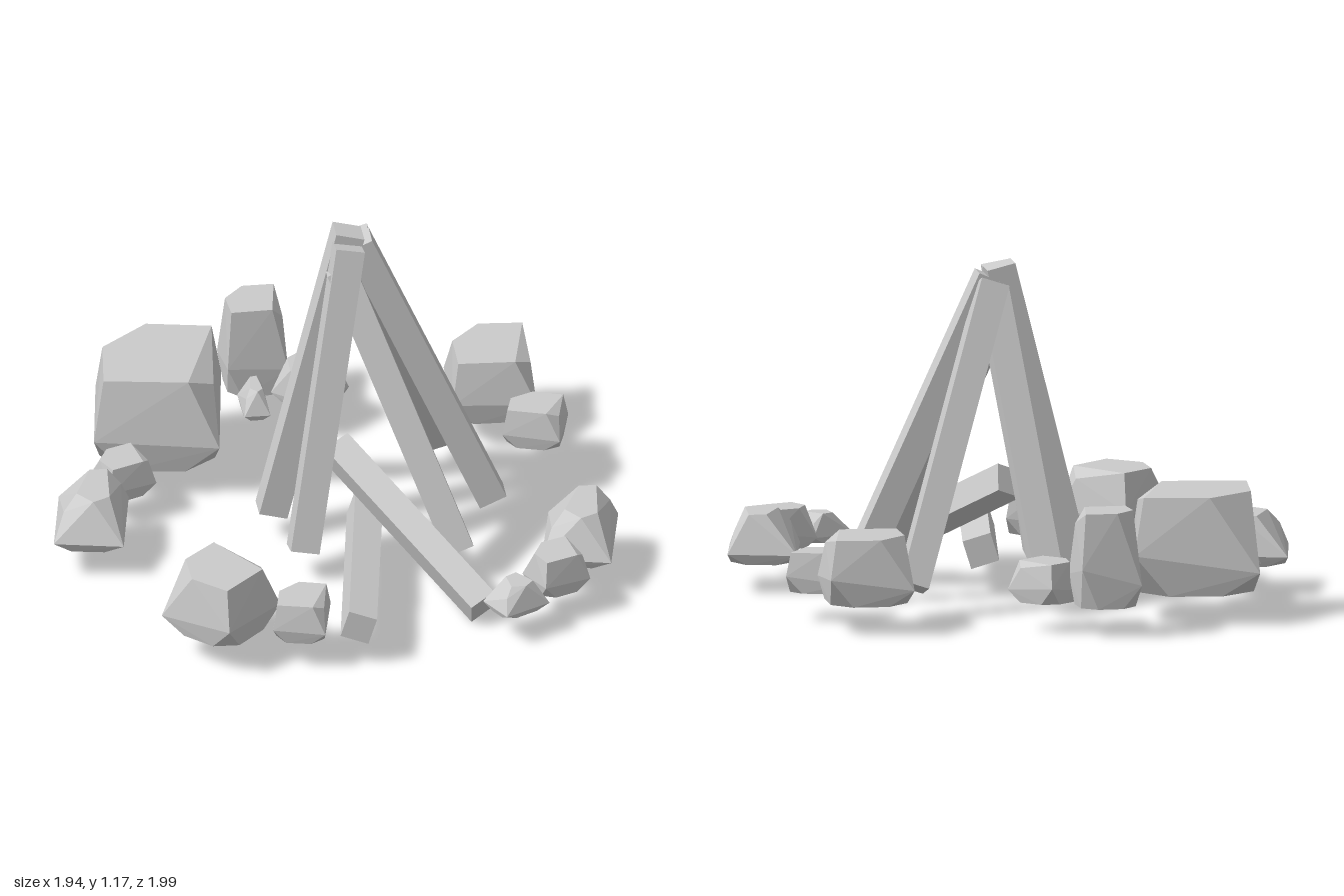
import * as THREE from 'three';
import { ConvexGeometry } from 'three/addons/geometries/ConvexGeometry.js';

const material = new THREE.MeshStandardMaterial({ color: 0xcccccc, flatShading: true });

// Square log from foot to tip; upright it lines up with the axes, then it is tilted and rolled
function makeLog(name, foot, tip, roll = 0) {
  const a = new THREE.Vector3(...foot);
  const b = new THREE.Vector3(...tip);
  const log = new THREE.Mesh(new THREE.BoxGeometry(0.1, a.distanceTo(b), 0.1), material);
  log.name = name;
  log.position.copy(a).add(b).multiplyScalar(0.5);
  log.quaternion.setFromUnitVectors(new THREE.Vector3(0, 1, 0), b.sub(a).normalize());
  log.rotateY(roll);
  return log;
}

// Unit stones: corner points [x, height, z], flat below and chipped at the corners
const base = [
  [-0.92, 0, -0.4], [-0.4, 0, -0.92], [0.45, 0, -0.92], [0.92, 0, -0.45],
  [0.92, 0, 0.5], [0.45, 0, 0.92], [-0.5, 0, 0.92], [-0.92, 0, 0.45],
];
const blockStone = [
  ...base,
  [-1, 0.24, -1], [1, 0.42, -1], [1, 0.3, 1], [-1, 0.36, 1],
  [-0.88, 1, -0.2], [-0.2, 1, -0.9], [0.85, 1, -0.85], [0.5, 1, 0.85], [-0.85, 1, 0.82],
  [0.9, 0.85, 0.5],
];
const ridgeStone = [
  ...base,
  [-1, 0.2, -1], [1, 0.22, -1], [1, 0.18, 1], [-1, 0.2, 1],
  [-0.1, 1, -0.7], [0.4, 1, -0.75], [0.55, 1, 0.4], [0.1, 1, 0.65], [-0.4, 1, 0.3],
  [-0.75, 0.7, 0.55], [0.8, 0.7, -0.7],
];

function makeStone(shape, x, z, halfWidth, halfDepth, top, yaw) {
  const points = shape.map(([px, py, pz]) =>
    new THREE.Vector3(px * halfWidth, py * (top - 0.1), pz * halfDepth));
  const stone = new THREE.Mesh(new ConvexGeometry(points), material);
  stone.name = 'stone';
  stone.position.set(x, 0.1, z);
  stone.rotation.y = yaw;
  return stone;
}

export function createModel() {
  const model = new THREE.Group();
  model.name = 'campfire';

  // Leaning logs meeting at the top
  const logs = new THREE.Group();
  logs.name = 'logs';
  const leaning = [
    [[-0.04, 0.11, -0.38], [0.1, 1.08, -0.07]],
    [[0.44, 0.11, -0.42], [0.1, 1.1, -0.08]],
    [[0.56, 0.1, 0], [0.1, 1.12, -0.03]],
    [[-0.2, 0.1, 0], [0.07, 1.16, -0.03]],
    [[-0.13, 0.11, 0.305], [0.06, 1.14, 0.05]],
    [[0.4, 0.11, 0.37], [0.03, 1.06, 0.05]],
  ];
  for (const [foot, tip] of leaning) logs.add(makeLog('leaningLog', foot, tip));

  // Loose logs: one slipped forward, one lying flat
  logs.add(makeLog('slippedLog', [0.44, 0.06, 0.695], [0.01, 0.39, 0.11], 0.25));
  logs.add(makeLog('lyingLog', [-0.02, 0.147, 0.94], [0.11, 0.15, 0.1], 0.15));
  model.add(logs);

  // Ring of stones: shape, x, z, half width, half depth, top, yaw
  const ring = new THREE.Group();
  ring.name = 'stoneRing';
  const stones = [
    [blockStone, -0.525, -0.53, 0.215, 0.235, 0.44, -0.14],
    [blockStone, -0.15, -0.89, 0.105, 0.105, 0.43, 0.05],
    [blockStone, 0.03, -0.75, 0.095, 0.095, 0.24, 0.75],
    [ridgeStone, -0.17, -0.7, 0.045, 0.08, 0.2, 0.03],
    [blockStone, 0.64, -0.65, 0.145, 0.16, 0.33, -0.03],
    [blockStone, 0.76, -0.38, 0.1, 0.085, 0.24, -0.3],
    [ridgeStone, 0.815, 0.385, 0.12, 0.168, 0.27, -0.2],
    [blockStone, 0.7, 0.65, 0.088, 0.08, 0.24, 0.4],
    [ridgeStone, 0.545, 0.78, 0.09, 0.07, 0.2, 0.5],
    [blockStone, -0.475, 0.78, 0.145, 0.145, 0.33, 0.8],
    [blockStone, -0.205, 0.85, 0.09, 0.1, 0.24, -0.22],
    [blockStone, -0.69, -0.205, 0.09, 0.08, 0.23, 0.42],
    [ridgeStone, -0.83, 0.06, 0.12, 0.168, 0.27, -0.18],
  ];
  for (const args of stones) ring.add(makeStone(...args));
  model.add(ring);

  return model;
}
